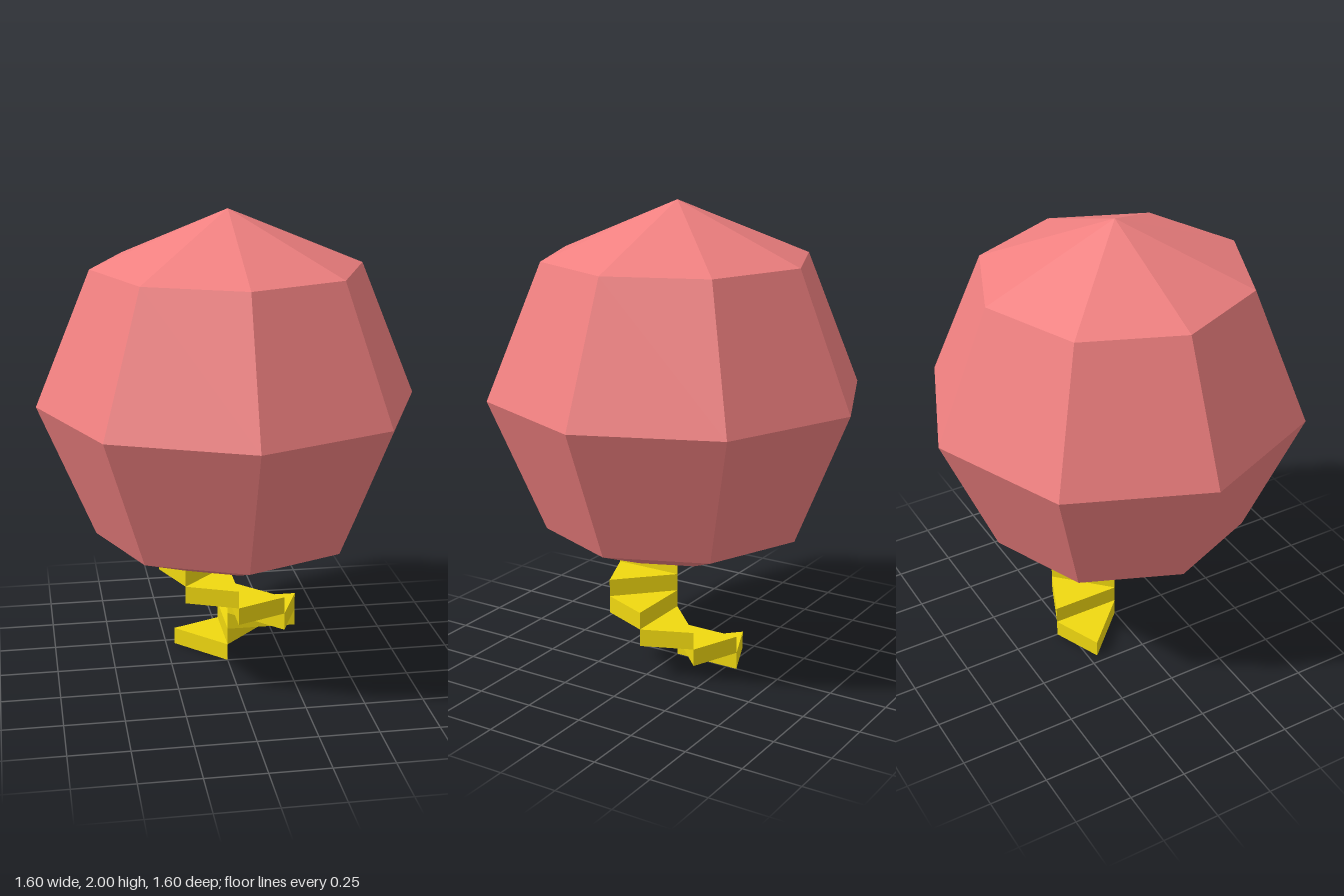
import * as THREE from 'three';

const SIDES = 8;
const pink = new THREE.MeshStandardMaterial({ color: 0xf08080, flatShading: true });
const yellow = new THREE.MeshStandardMaterial({ color: 0xf0d810, flatShading: true });

const CENTRE = 1.2, OUTER = 0.8, INNER = 0.65, HOLE = 0.3, STEP = 0.0753;

// Half profile of a coarse ball, from the round hole in its base up to its top
function ballProfile(radius) {
  const d = radius * Math.SQRT1_2;
  const rimY = CENTRE - radius + HOLE * Math.tan(Math.PI / 8);
  return [[HOLE, rimY], [d, CENTRE - d], [radius, CENTRE], [d, CENTRE + d], [0, CENTRE + radius]]
    .map(([x, y]) => new THREE.Vector2(x, y));
}

function lathe(name, points, material) {
  const mesh = new THREE.Mesh(new THREE.LatheGeometry(points, SIDES), material);
  mesh.name = name;
  return mesh;
}

export function createModel() {
  const model = new THREE.Group();
  model.name = 'hollowBallWithSpiralStair';

  // Hollow ball: outer skin, wall of the hole and inner lining
  const outer = ballProfile(OUTER);
  const inner = ballProfile(INNER);
  model.add(
    lathe('outerShell', outer, pink),
    lathe('holeWall', [inner[0], outer[0]], pink),
    lathe('innerShell', [...inner].reverse(), yellow)
  );

  // Spiral stair: one full turn of wedge steps, the last one inside the hole
  const c = HOLE * Math.SQRT1_2;
  const wedge = new THREE.Shape([
    new THREE.Vector2(0, 0), new THREE.Vector2(0, HOLE), new THREE.Vector2(-c, c)
  ]);
  const stepGeometry = new THREE.ExtrudeGeometry(wedge, { depth: STEP, bevelEnabled: false });
  stepGeometry.rotateX(-Math.PI / 2);

  const stair = new THREE.Group();
  stair.name = 'spiralStair';
  for (let i = 0; i < SIDES; i++) {
    const step = new THREE.Mesh(stepGeometry, yellow);
    step.name = `step${i + 1}`;
    step.position.y = i * STEP;
    step.rotation.y = -i * 2 * Math.PI / SIDES;
    stair.add(step);
  }
  model.add(stair);
  return model;
}
